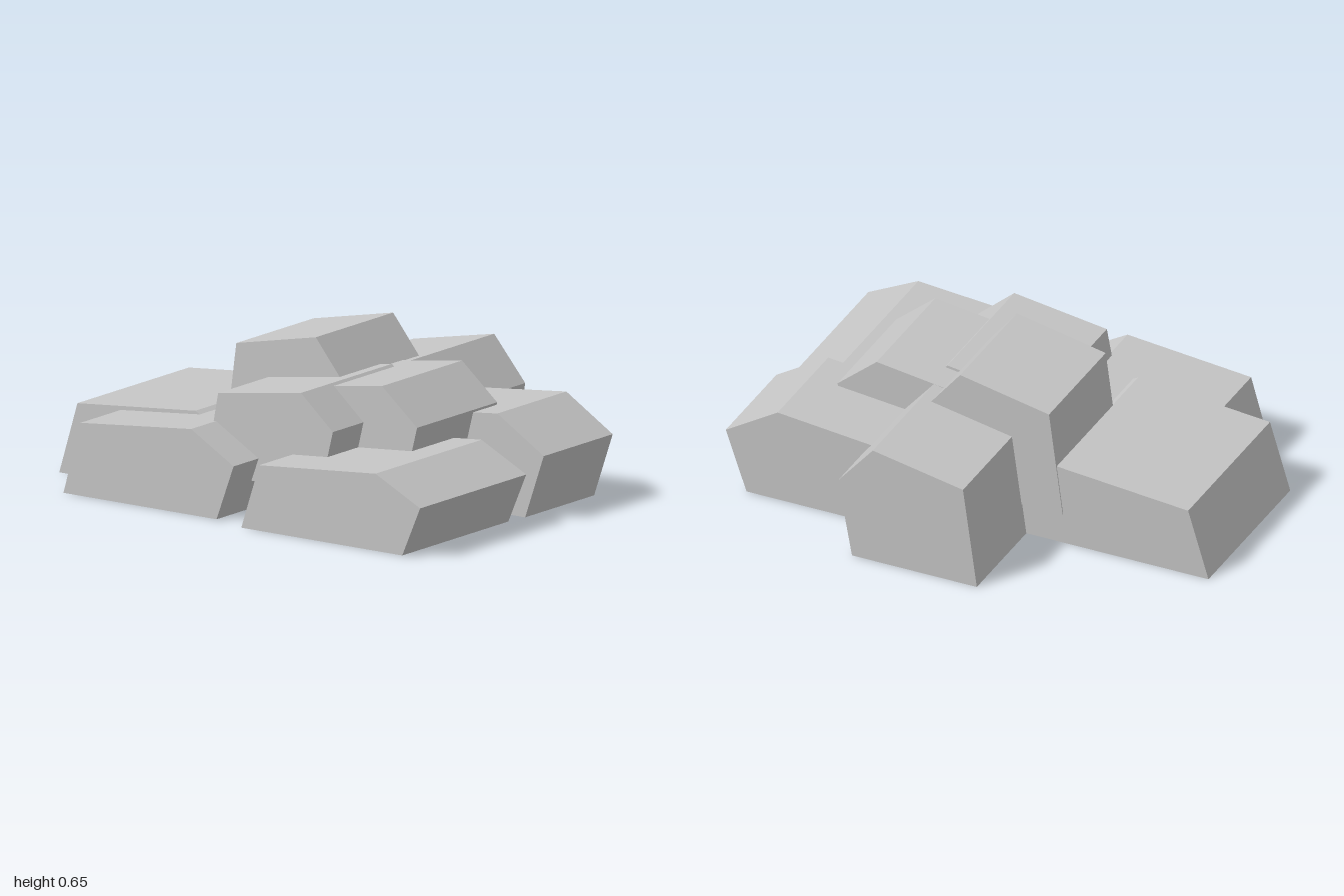
import * as THREE from 'three';

// Unit cross-section shared by every boulder: [x, y] in 0..1
const PROFILE = [[0, 0], [0.9, 0], [1, 0.65], [0.75, 1], [0.1, 0.85]];

// name, left x, right x, bottom y, top y, back z, front z
const ROCKS = [
  ['leftmostBaseRock', -1, -0.12, 0, 0.342, -0.305, 0.43],
  ['frontBaseRock', -0.785, 0.04, 0, 0.345, 0.09, 0.695],
  ['frontCornerBaseRock', 0.118, 0.985, 0, 0.31, 0.05, 0.75],
  ['rearCornerBaseRock', 0.1, 1, 0, 0.398, -0.5, -0.045],
  ['backBaseRock', -0.21, 0.392, 0, 0.505, -0.75, -0.08],
  ['frontUpperRock', -0.218, 0.4, 0.13, 0.517, -0.07, 0.53],
  ['sideUpperRock', -0.02, 0.66, 0.13, 0.54, -0.2, 0.328],
  ['topRock', -0.37, 0.223, 0.13, 0.652, -0.31, 0.2],
];

// Faceted boulder: the profile scaled to size and extruded along z
function makeRock([name, x0, x1, y0, y1, z0, z1], material) {
  const shape = new THREE.Shape(PROFILE.map(([u, v]) =>
    new THREE.Vector2(x0 + u * (x1 - x0), y0 + v * (y1 - y0))));
  const geometry = new THREE.ExtrudeGeometry(shape, { depth: z1 - z0, bevelEnabled: false });
  geometry.translate(0, 0, z0);
  const rock = new THREE.Mesh(geometry, material);
  rock.name = name;
  return rock;
}

export function createModel() {
  const stone = new THREE.MeshStandardMaterial({ color: 0xc5c5c5 });
  stone.name = 'stone grey';
  const group = new THREE.Group();
  group.name = 'rockPile';
  for (const rock of ROCKS) group.add(makeRock(rock, stone));
  return group;
}
